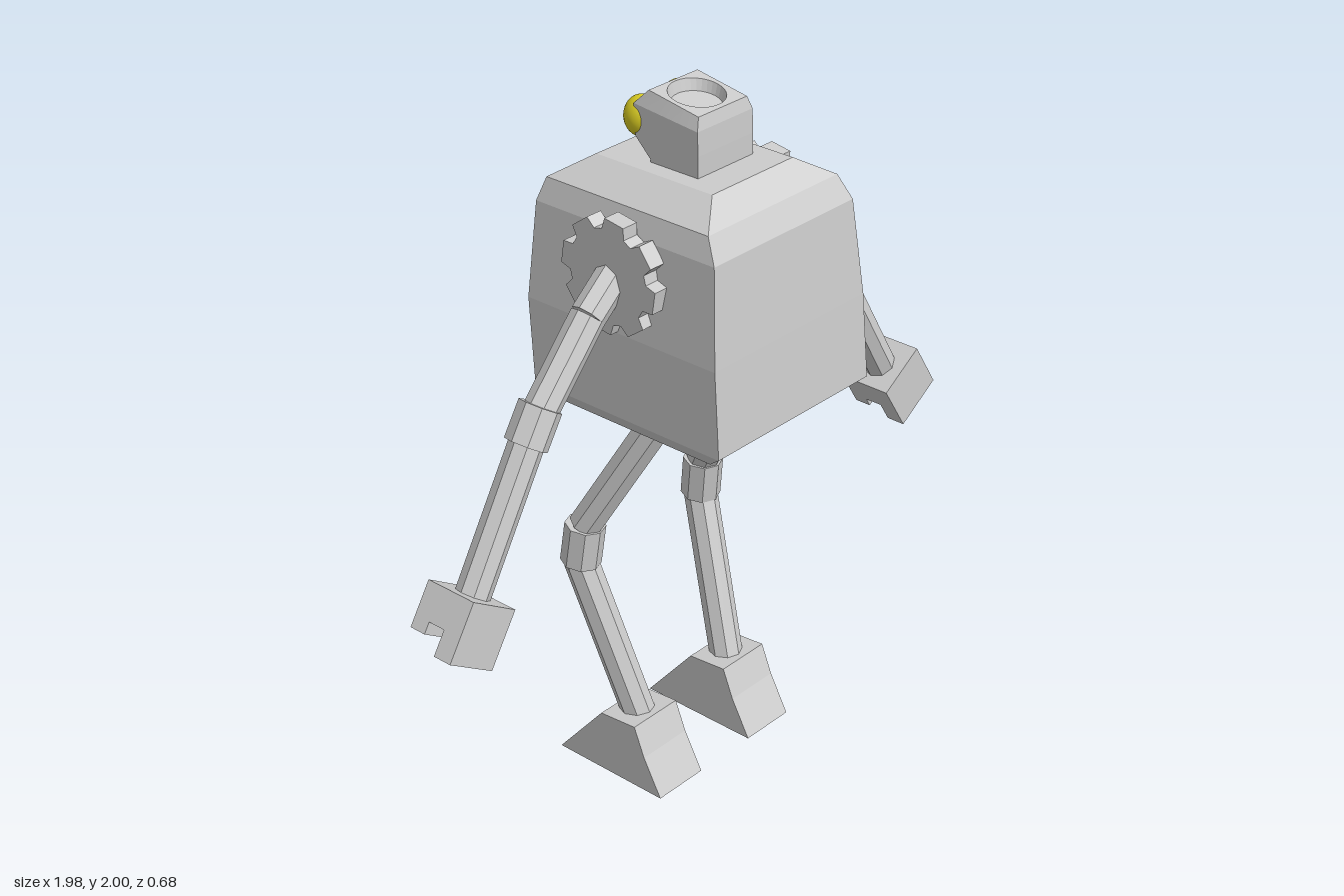
import * as THREE from 'three';

const grey = new THREE.MeshStandardMaterial({ color: 0xcccccc, flatShading: true });
const yellow = new THREE.MeshStandardMaterial({ color: 0xd8cb22 });
const V = (x, y, z) => new THREE.Vector3(x, y, z);

function add(parent, name, geometry, material = grey) {
  const mesh = new THREE.Mesh(geometry, material);
  mesh.name = name;
  parent.add(mesh);
  return mesh;
}

// Skin stacked rings of equal point count (bottom to top), closing both ends
function loft(rings) {
  const n = rings[0].length, pos = [], idx = [];
  rings.forEach(r => r.forEach(p => pos.push(p.x, p.y, p.z)));
  for (let k = 0; k < rings.length - 1; k++)
    for (let i = 0; i < n; i++) {
      const a = k * n + i, b = k * n + (i + 1) % n;
      idx.push(a, a + n, b, b, a + n, b + n);
    }
  const top = (rings.length - 1) * n;
  for (let i = 1; i < n - 1; i++) idx.push(0, i, i + 1, top, top + i + 1, top + i);
  const g = new THREE.BufferGeometry();
  g.setAttribute('position', new THREE.Float32BufferAttribute(pos, 3));
  g.setIndex(idx);
  const flat = g.toNonIndexed();
  flat.computeVertexNormals();
  return flat;
}

// Rectangular or round ring of n points; tilt raises y towards -z
function ring(n, y, hx, z0, z1, round = false, tilt = 0) {
  return Array.from({ length: n }, (_, i) => {
    const t = Math.PI / 4 + i * 2 * Math.PI / n, c = Math.cos(t), s = Math.sin(t);
    const k = round ? 1 : 1 / Math.max(Math.abs(c), Math.abs(s));
    const z = (z0 + z1) / 2 + s * k * (z1 - z0) / 2;
    return V(c * k * hx, y - z * tilt, z);
  });
}

// Eight-sided rod between two points
function rod(parent, name, a, b, r0, r1 = r0) {
  const d = b.clone().sub(a);
  const m = add(parent, name, new THREE.CylinderGeometry(r1, r0, d.length(), 8));
  m.position.copy(a).add(b).multiplyScalar(0.5);
  m.quaternion.setFromUnitVectors(V(0, 1, 0), d.normalize());
}

function polygon(points) {
  return new THREE.Shape(points.map(p => new THREE.Vector2(p[0], p[1])));
}

function plate(points, depth) {
  const g = new THREE.ExtrudeGeometry(polygon(points), { depth, bevelEnabled: false });
  return g.translate(0, 0, -depth / 2);
}

function buildArm(s) {
  const arm = new THREE.Group();
  arm.name = s > 0 ? 'leftArm' : 'rightArm';
  const z = -0.015;

  // shoulder gear with eight teeth
  const teeth = [];
  for (let i = 0; i < 8; i++)
    [[-0.29, 0.13], [-0.2, 0.16], [0.2, 0.16], [0.29, 0.13]].forEach(([o, r]) => {
      const t = (i + 0.2) * Math.PI / 4 + o;
      teeth.push([Math.cos(t) * r, Math.sin(t) * r]);
    });
  const gear = add(arm, 'shoulderGear', plate(teeth, 0.05));
  gear.rotation.y = Math.PI / 2;
  gear.position.set(s * 0.297, 1.585, -0.01);

  // upper arm, elbow sleeve and forearm
  const shoulder = V(s * 0.27, 1.6, z), mid = V(s * 0.39, 1.5, z);
  const elbow = V(s * 0.595, 1.275, z), wrist = V(s * 0.84, 0.865, z);
  rod(arm, 'upperArmTop', shoulder, mid, 0.047);
  rod(arm, 'upperArm', mid, elbow, 0.047);
  rod(arm, 'elbow', V(s * 0.567, 1.318, z), V(s * 0.623, 1.23, z), 0.058);
  rod(arm, 'forearm', elbow, wrist, 0.047);

  // two-pronged gripper hand
  const hand = add(arm, 'hand', plate([
    [-0.08, -0.083], [0.08, -0.083], [0.08, 0.083], [0.023, 0.083],
    [0.023, 0.012], [-0.03, 0.012], [-0.03, 0.045], [-0.08, 0.045]
  ], 0.167));
  const along = V(s * 0.54, -0.842, 0).normalize(), across = V(0, 0, 1);
  hand.quaternion.setFromRotationMatrix(
    new THREE.Matrix4().makeBasis(across, along, across.clone().cross(along)));
  hand.position.set(s * 0.874, 0.819, -0.015);
  return arm;
}

function buildLeg(s) {
  const leg = new THREE.Group();
  leg.name = s > 0 ? 'leftLeg' : 'rightLeg';
  const hip = V(s * 0.15, 1.16, 0.035), kneeTop = V(s * 0.242, 0.76, -0.185);
  const kneeLow = V(s * 0.248, 0.64, -0.2), ankle = V(s * 0.187, 0.17, -0.045);
  rod(leg, 'thigh', hip, kneeTop, 0.048);
  rod(leg, 'knee', kneeTop, kneeLow, 0.057);
  rod(leg, 'shin', kneeLow, ankle, 0.048);

  // wedge foot with the toe towards -z
  const foot = add(leg, 'foot', plate([
    [-0.11, 0], [0.27, 0], [0.11, 0.187], [-0.015, 0.197], [-0.05, 0.11]
  ], 0.172));
  foot.rotation.y = Math.PI / 2;
  foot.position.x = s * 0.188;
  return leg;
}

export function createModel() {
  const robot = new THREE.Group();
  robot.name = 'robot';

  // boxy torso: y, half width, z range
  add(robot, 'torso', loft([
    [1.1, 0.18, -0.2, 0.17], [1.14, 0.275, -0.27, 0.29], [1.18, 0.3, -0.3, 0.34],
    [1.42, 0.295, -0.32, 0.322], [1.69, 0.27, -0.305, 0.297],
    [1.755, 0.25, -0.285, 0.26], [1.812, 0.155, -0.2, 0.19]
  ].map(r => ring(4, ...r))));

  // raised chest panel
  const half = [[0.18, 1.225], [0.212, 1.29], [0.22, 1.4], [0.213, 1.54], [0.195, 1.625], [0.1, 1.655]];
  const outline = [...half, ...half.map(([x, y]) => [-x, y]).reverse()];
  const panel = add(robot, 'chestPanel', plate(outline, 0.04));
  panel.position.z = -0.316;

  // head with receding chin and a round recess in the tilted crown
  const n = 32, tilt = 0.17;
  add(robot, 'head', loft([
    ring(n, 1.79, 0.105, -0.06, 0.1), ring(n, 1.82, 0.105, -0.06, 0.1),
    ring(n, 1.87, 0.105, -0.11, 0.1), ring(n, 1.945, 0.105, -0.115, 0.098, false, 0.1),
    ring(n, 1.985, 0.092, -0.075, 0.09, false, tilt),
    ring(n, 1.985, 0.078, -0.068, 0.076, true, tilt),
    ring(n, 1.955, 0.07, -0.06, 0.068, true, tilt)
  ]));

  // eyes and mouth
  for (const s of [1, -1]) {
    const eye = add(robot, s > 0 ? 'leftEye' : 'rightEye', new THREE.SphereGeometry(1, 24, 16), yellow);
    eye.scale.set(0.046, 0.055, 0.046);
    eye.position.set(s * 0.071, 1.912, -0.12);
    robot.add(buildArm(s), buildLeg(s));
  }
  const mouth = add(robot, 'mouth', new THREE.SphereGeometry(1, 20, 12), yellow);
  mouth.scale.set(0.06, 0.022, 0.016);
  mouth.rotation.x = 0.8;
  mouth.position.set(0, 1.848, -0.09);

  return robot;
}
